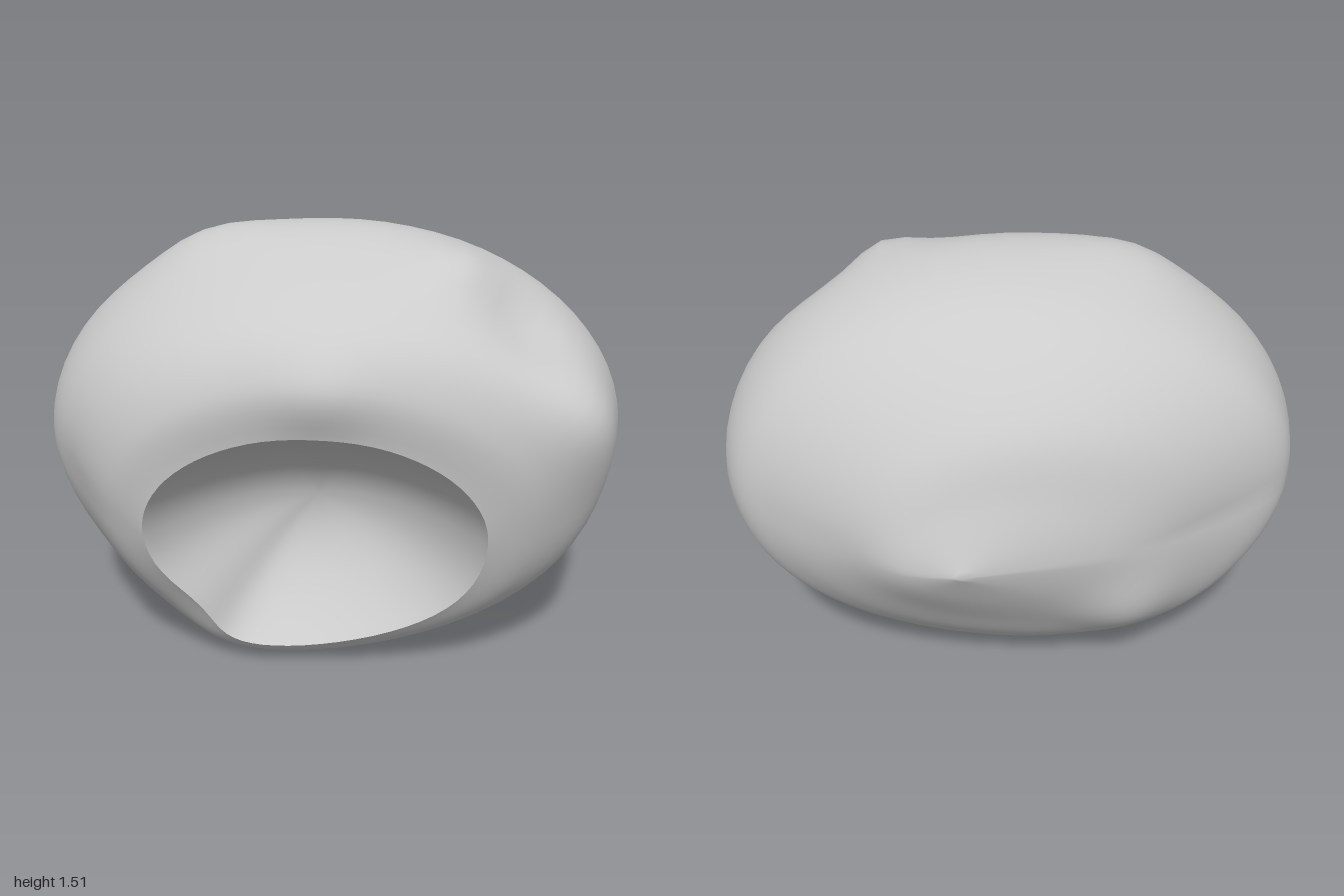
import * as THREE from 'three';

// Cross-sections from the open rim to the back:
// [xRight, xLeft, ySide, zRight, zLeft, yTop, zTop, yBottom, zBottom]
const RINGS = [
  [-0.58, 0.52, 0.58, 0.56, 0.56, 0.96, 0.66, 0.10, 0.42],
  [-0.71, 0.68, 0.63, 0.50, 0.52, 1.12, 0.68, 0.04, 0.35],
  [-0.84, 0.86, 0.72, 0.38, 0.42, 1.28, 0.59, 0.005, 0.22],
  [-0.95, 0.94, 0.77, 0.24, 0.25, 1.42, 0.36, 0.03, 0.08],
  [-1.00, 1.00, 0.78, 0.02, 0.00, 1.51, 0.10, 0.055, -0.03],
  [-0.97, 0.95, 0.78, -0.18, -0.23, 1.47, -0.18, 0.07, -0.24],
  [-0.88, 0.80, 0.77, -0.35, -0.38, 1.35, -0.40, 0.20, -0.40],
  [-0.60, 0.57, 0.74, -0.50, -0.54, 1.15, -0.58, 0.38, -0.52],
  [-0.24, 0.40, 0.72, -0.64, -0.65, 0.93, -0.65, 0.55, -0.62],
  [0.22, 0.22, 0.73, -0.71, -0.71, 0.73, -0.71, 0.73, -0.71],
];

// Soft local pushes: centre, offset, radius
const PUSHES = [
  { at: [0.80, 1.00, 0.36], by: [0.03, 0.0, 0.09], r: 0.2 },       // shoulder
  { at: [0.00, 1.11, 0.68], by: [0, 0, 0.03], r: 0.14 },           // middle of the brow
  { at: [0.40, 1.36, 0.27], by: [0.02, 0.05, 0.03], r: 0.15 },     // end of the brow
  { at: [0.60, 1.22, 0.36], by: [-0.02, -0.02, -0.02], r: 0.14 },  // dent beside the brow
  { at: [-0.40, 1.42, 0.05], by: [-0.02, 0.03, 0], r: 0.2 },       // top corner
  { at: [-0.36, 0.43, -0.54], by: [0, -0.02, -0.05], r: 0.18 },    // back corner
  { at: [-0.40, 0.14, -0.12], by: [0.02, 0.05, 0.02], r: 0.22 },   // flat underside
  { at: [-0.48, 0.25, 0.49], by: [0.05, 0.01, 0], r: 0.17 },       // pinched rim
].map(p => ({ at: new THREE.Vector3(...p.at), by: new THREE.Vector3(...p.by), r: p.r }));

// Smooth interpolation through the rows, column by column
function ringAt(t) {
  const f = t * (RINGS.length - 1);
  const k = Math.min(Math.floor(f), RINGS.length - 2);
  const u = f - k;
  const row = i => RINGS[THREE.MathUtils.clamp(i, 0, RINGS.length - 1)];
  return row(k).map((p1, c) => {
    const p0 = row(k - 1)[c], p2 = row(k + 1)[c], p3 = row(k + 2)[c];
    const m1 = (p2 - p0) / 2, m2 = (p3 - p1) / 2;
    const u2 = u * u, u3 = u2 * u;
    return (2 * u3 - 3 * u2 + 1) * p1 + (u3 - 2 * u2 + u) * m1
      + (3 * u2 - 2 * u3) * p2 + (u3 - u2) * m2;
  });
}

function shellPoint(t, a) {
  const [xR, xL, yS, zR, zL, yT, zT, yB, zB] = ringAt(t);
  const c = Math.cos(a), s = Math.sin(a), w = Math.abs(s);
  const mid = (xR + xL) / 2, half = (xL - xR) / 2;
  // the underside leans towards the right
  const lean = s < 0 ? -0.15 * s ** 4 * Math.min(1, 3 * (1 - t)) : 0;
  const p = new THREE.Vector3(
    mid + half * c + lean,
    yS + (s > 0 ? yT - yS : yS - yB) * s,
    (c > 0 ? zL : zR) * (1 - w) + (s > 0 ? zT : zB) * w
  );
  const base = p.clone();
  for (const { at, by, r } of PUSHES) {
    p.addScaledVector(by, Math.exp(-base.distanceToSquared(at) / (r * r)));
  }
  return p;
}

// Shallow dish that starts on the rim and sinks backwards
const DISH_CENTRE = new THREE.Vector3(-0.04, 0.55, 0.55);
const DISH_DEPTH = new THREE.Vector3(0, 0.05, -0.32);
function dishPoint(t, a) {
  const r = 1 - t;
  return shellPoint(0, -a).sub(DISH_CENTRE).multiplyScalar(r)
    .add(DISH_CENTRE).addScaledVector(DISH_DEPTH, 1 - r * r);
}

// Closed loops of points, ending in a single tip
function loft(pointAt, rows, cols) {
  const pos = [], index = [];
  for (let i = 0; i < rows; i++) {
    for (let j = 0; j < cols; j++) {
      pos.push(...pointAt(i / rows, (j / cols) * Math.PI * 2).toArray());
    }
  }
  for (let i = 0; i < rows - 1; i++) {
    for (let j = 0; j < cols; j++) {
      const n = (j + 1) % cols;
      const a = i * cols + j, b = a + cols, c = i * cols + n, d = c + cols;
      index.push(a, b, c, c, b, d);
    }
  }
  const last = (rows - 1) * cols;
  pos.push(...pointAt(1, 0).toArray());
  for (let j = 0; j < cols; j++) index.push(last + j, rows * cols, last + (j + 1) % cols);

  const g = new THREE.BufferGeometry();
  g.setAttribute('position', new THREE.Float32BufferAttribute(pos, 3));
  g.setIndex(index);
  g.computeVertexNormals();
  return g;
}

export function createModel() {
  const group = new THREE.Group();
  group.name = 'hollowShell';
  const material = new THREE.MeshStandardMaterial({ color: 0xcccccc, side: THREE.DoubleSide });
  const add = (name, geometry) => {
    const mesh = new THREE.Mesh(geometry, material);
    mesh.name = name;
    group.add(mesh);
  };
  add('outerShell', loft(shellPoint, 54, 72));
  add('frontDish', loft(dishPoint, 24, 72));
  return group;
}
